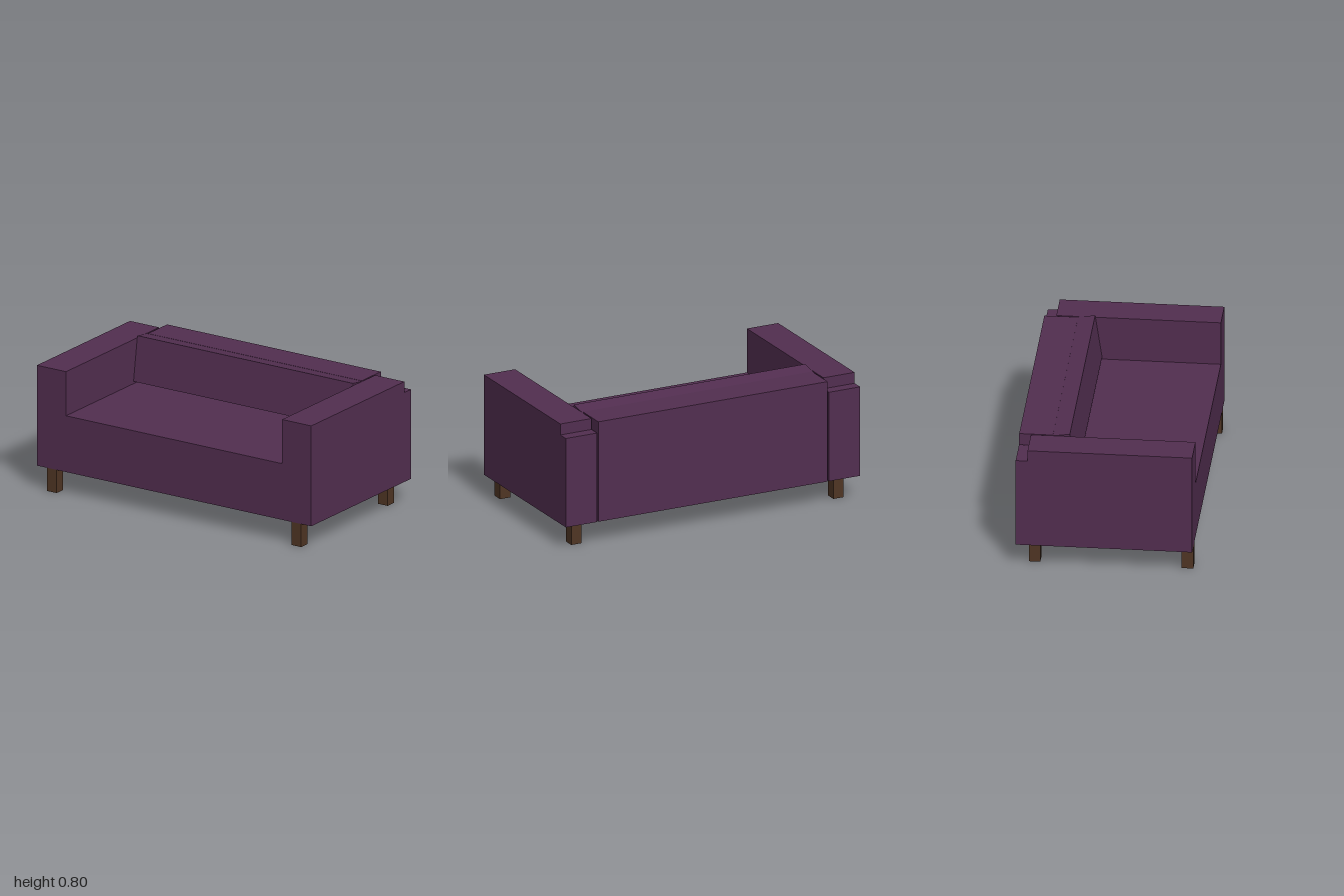
import * as THREE from 'three';

export function createModel() {
  const sofa = new THREE.Group();
  sofa.name = 'sofa';

  const fabric = new THREE.MeshStandardMaterial({ color: 0x522e50 });
  fabric.name = 'plum fabric';
  const wood = new THREE.MeshStandardMaterial({ color: 0x4f3524 });
  wood.name = 'dark wood';

  const add = (name, geometry, material) => {
    const mesh = new THREE.Mesh(geometry, material);
    mesh.name = name;
    sofa.add(mesh);
    return mesh;
  };

  // Box given by its lower and upper limits on each axis
  const block = (name, material, [x0, x1], [y0, y1], [z0, z1]) => {
    const mesh = add(name, new THREE.BoxGeometry(x1 - x0, y1 - y0, z1 - z0), material);
    mesh.position.set((x0 + x1) / 2, (y0 + y1) / 2, (z0 + z1) / 2);
    return mesh;
  };

  const base = 0.147, armTop = 0.786, stepTop = 0.716, seatTop = 0.505;
  const front = 0.534, back = -0.534, stepZ = -0.462;
  const armInner = 0.788, armWidth = 1 - armInner;

  // Arms: side profile with a lowered step at the rear, extruded across x
  const profile = new THREE.Shape([
    [-front, base], [-back, base], [-back, stepTop],
    [-stepZ, stepTop], [-stepZ, armTop], [-front, armTop],
  ].map(([z, y]) => new THREE.Vector2(z, y)));
  const armGeometry = new THREE.ExtrudeGeometry(profile, { depth: armWidth, bevelEnabled: false });
  armGeometry.rotateY(Math.PI / 2);
  for (const [name, x] of [['leftArm', armInner], ['rightArm', -1]]) {
    add(name, armGeometry, fabric).position.x = x;
  }

  // Seat between the arms, and the back panel with a narrow gap at each side
  block('seat', fabric, [-armInner, armInner], [base, seatTop], [-0.44, front]);
  block('backPanel', fabric, [-0.779, 0.779], [base, armTop], [back, -0.33]);

  // Back cushion leaning rearward; its pivot is the top front edge
  const tilt = 0.148, height = 0.283, depth = 0.15;
  const cushionGeometry = new THREE.BoxGeometry(1.572, height, depth);
  cushionGeometry.translate(0, -height / 2, -depth / 2);
  const cushion = add('backCushion', cushionGeometry, fabric);
  cushion.position.set(0, 0.8, -0.227);
  cushion.rotation.x = -tilt;

  // Square legs
  for (const [side, x] of [['Left', 0.891], ['Right', -0.891]]) {
    for (const [end, z] of [['front', 0.499], ['back', -0.427]]) {
      block(`${end}${side}Leg`, wood, [x - 0.035, x + 0.035], [0, base], [z - 0.035, z + 0.035]);
    }
  }

  return sofa;
}
